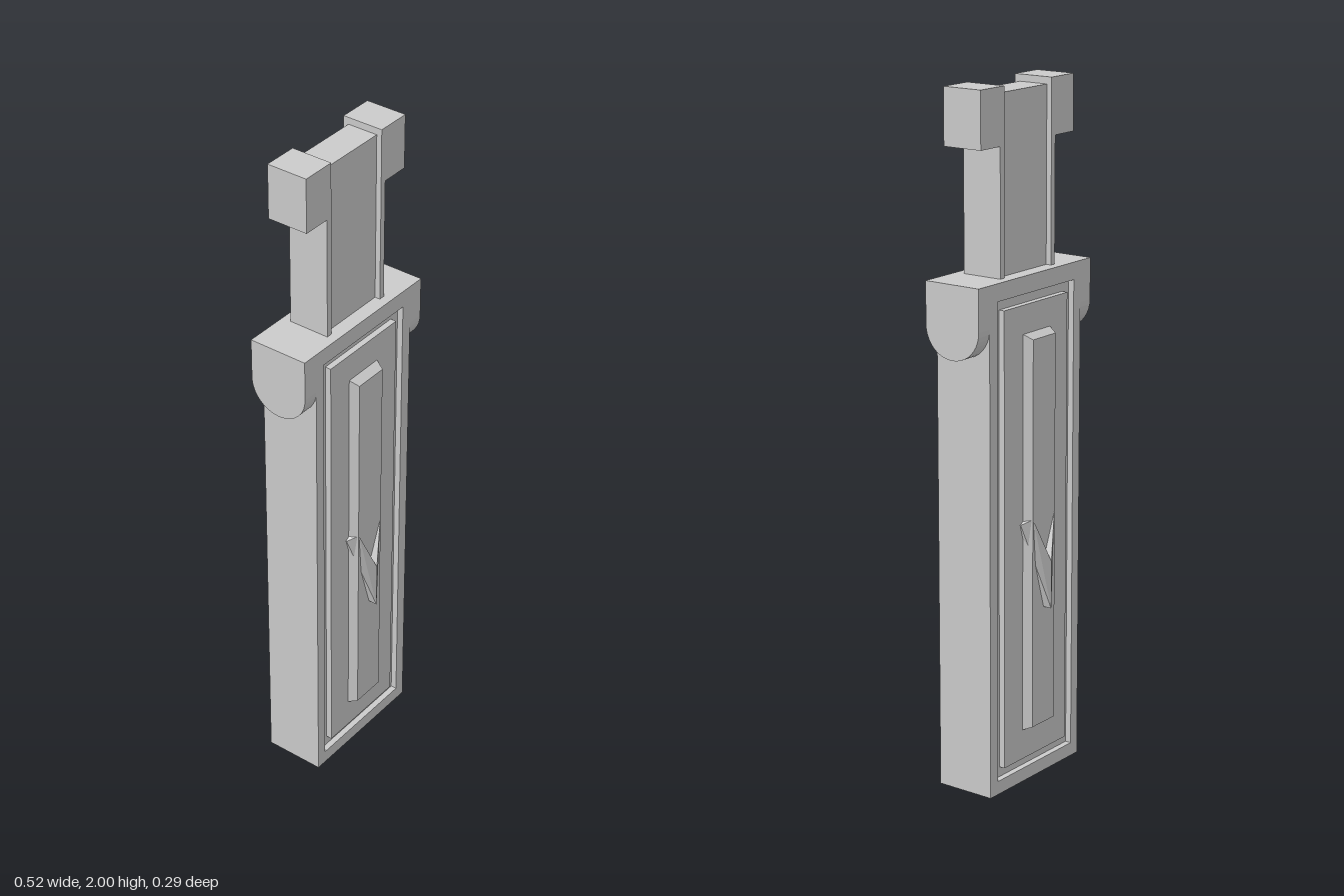
import * as THREE from 'three';
import { ConvexGeometry } from 'three/addons/geometries/ConvexGeometry.js';

const material = new THREE.MeshStandardMaterial({ color: 0xcccccc, flatShading: true });

function add(parent, name, geometry) {
  const mesh = new THREE.Mesh(geometry, material);
  mesh.name = name;
  parent.add(mesh);
  return mesh;
}

// Box given by its minimum and maximum corners
function box(parent, name, x0, x1, y0, y1, z0, z1) {
  const g = new THREE.BoxGeometry(x1 - x0, y1 - y0, z1 - z0);
  g.translate((x0 + x1) / 2, (y0 + y1) / 2, (z0 + z1) / 2);
  return add(parent, name, g);
}

function rect(path, x0, x1, y0, y1) {
  path.moveTo(x0, y0);
  path.lineTo(x1, y0);
  path.lineTo(x1, y1);
  path.lineTo(x0, y1);
  path.closePath();
  return path;
}

// Raised ornament on one broad face: bevelled bar with a pointed chevron
function ornament() {
  const group = new THREE.Group();

  const bar = new THREE.BoxGeometry(0.15, 1.19, 0.06);
  bar.translate(0, 0.74, 0.087);
  const p = bar.attributes.position;
  for (let i = 0; i < p.count; i++) {
    if (p.getZ(i) > 0.1) {
      p.setX(i, Math.sign(p.getX(i)) * 0.052);
      p.setY(i, p.getY(i) > 0.74 ? 1.305 : 0.17);
    }
  }
  bar.computeVertexNormals();
  add(group, 'bevelledBar', bar);

  for (const s of [-1, 1]) {
    const top = [[0.05, 0.79, 0.117], [0, 0.66, 0.144], [0, 0.52, 0.144], [0.075, 0.775, 0.092]];
    const points = [];
    for (const [x, y, z] of top) {
      points.push(new THREE.Vector3(s * x, y, z), new THREE.Vector3(s * x, y, 0.08));
    }
    add(group, 'chevronArm', new ConvexGeometry(points));
  }
  return group;
}

export function createModel() {
  const model = new THREE.Group();
  model.name = 'blockWithTang';

  // Main body: outer frame, recessed core and inner panel leave a groove on each face
  const outline = rect(new THREE.Shape(), -0.21, 0.21, 0, 1.48);
  outline.holes.push(rect(new THREE.Path(), -0.178, 0.176, 0.04, 1.43));
  const frame = new THREE.ExtrudeGeometry(outline, { depth: 0.18, bevelEnabled: false });
  frame.translate(0, 0, -0.09);
  add(model, 'bodyFrame', frame);
  box(model, 'grooveFloor', -0.178, 0.176, 0.04, 1.43, -0.072, 0.072);
  box(model, 'innerPanel', -0.147, 0.145, 0.07, 1.4, -0.09, 0.09);

  // Ornaments on front and back
  for (const back of [false, true]) {
    const o = ornament();
    o.name = back ? 'backOrnament' : 'frontOrnament';
    o.rotation.y = back ? Math.PI : 0;
    o.position.x = -0.003;
    model.add(o);
  }

  // Side lugs with a rounded underside
  const lug = new THREE.Shape();
  lug.moveTo(-0.09, 1.48);
  lug.lineTo(-0.09, 1.36);
  lug.absarc(0, 1.36, 0.09, Math.PI, Math.PI * 2, false);
  lug.lineTo(0.09, 1.48);
  lug.closePath();

  for (const s of [-1, 1]) {
    const side = s > 0 ? 'left' : 'right';
    const g = new THREE.ExtrudeGeometry(lug, { depth: 0.048, bevelEnabled: false, curveSegments: 10 });
    g.rotateY(s * Math.PI / 2);
    g.translate(s * 0.21, 0, 0);
    add(model, side + 'Lug', g);

    // Tang edge rail and the block at its top
    const span = (a, b) => (s > 0 ? [a, b] : [-b, -a]);
    box(model, side + 'TangRail', ...span(0.107, 0.125), 1.48, 1.84, -0.062, 0.062);
    box(model, side + 'TopBlock', ...span(0.107, 0.21), 1.84, 2, -0.062, 0.062);
  }

  // Thinner web between the rails
  box(model, 'tangWeb', -0.107, 0.107, 1.48, 1.98, -0.046, 0.046);

  return model;
}
